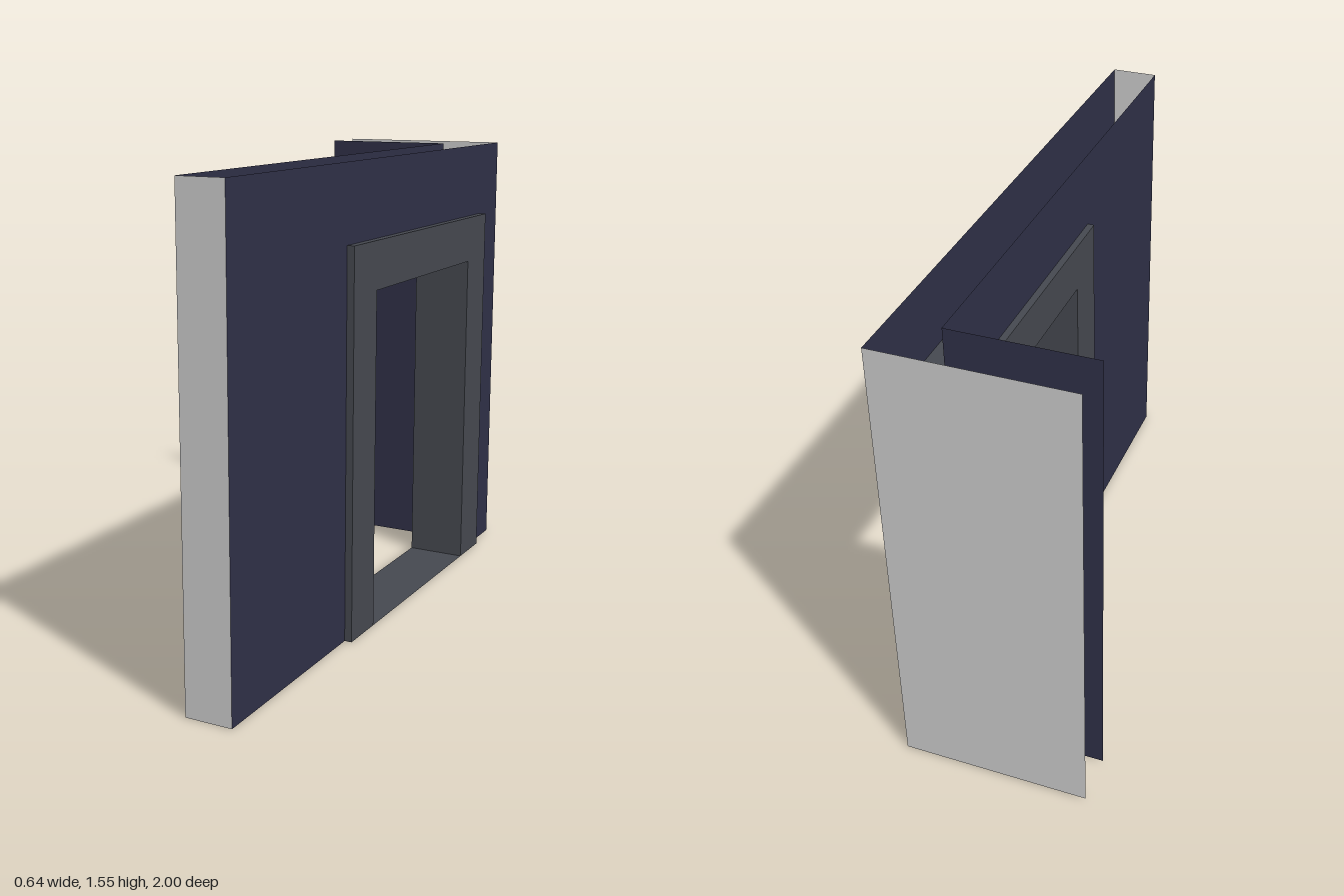
import * as THREE from 'three';

const H = 1.555;                          // wall height
const OUT_X = 0.297, IN_X = 0.14;         // outer and inner skins of the long wall
const BACK_Z = -1, INNER_Z = -0.84, FRONT_Z = 1;
const END_X = -0.322;                     // free end of the return wall

const mat = (color) => new THREE.MeshStandardMaterial({ color, side: THREE.DoubleSide });
const navy = mat(0x2f3047), frameGrey = mat(0x45484f), grey = mat(0xcccccc);

export function createModel() {
  const model = new THREE.Group();
  const add = (name, geometry, material) => {
    const mesh = new THREE.Mesh(geometry, material);
    mesh.name = name;
    model.add(mesh);
    return mesh;
  };

  // Doorway outline (an upside-down U or a plain gap), drawn with shape x = -z
  const outline = (points) => new THREE.Shape(points.map(([z, y]) => new THREE.Vector2(-z, y)));

  // Thin wall skin in the z-y plane, cut out where the door frame passes through
  const skin = (name, x, zBack) => {
    const shape = outline([
      [FRONT_Z, 0], [0.285, 0], [0.285, 1.3], [-0.826, 1.3], [-0.826, 0],
      [zBack, 0], [zBack, H], [FRONT_Z, H],
    ]);
    add(name, new THREE.ShapeGeometry(shape).rotateY(Math.PI / 2).translate(x, 0, 0), navy);
  };
  skin('outerWall', OUT_X, BACK_Z);
  skin('innerWall', IN_X, INNER_Z);

  // Thin upright panel facing along z
  const panel = (name, x0, x1, z, material, facing) => {
    const geometry = new THREE.PlaneGeometry(x1 - x0, H);
    if (facing < 0) geometry.rotateY(Math.PI);
    add(name, geometry.translate((x0 + x1) / 2, H / 2, z), material);
  };
  panel('frontEndCap', IN_X, OUT_X, FRONT_Z, grey, 1);
  panel('returnWallInner', END_X, IN_X, INNER_Z, navy, 1);
  panel('returnWallBack', END_X, OUT_X, BACK_Z, grey, -1);

  // Door frame: two jambs and a lintel, standing proud of both skins
  const frame = outline([
    [0.285, 0], [0.12, 0], [0.12, 1.14], [-0.66, 1.14],
    [-0.66, 0], [-0.826, 0], [-0.826, 1.3], [0.285, 1.3],
  ]);
  const x0 = 0.117, x1 = 0.322;
  add('doorFrame',
    new THREE.ExtrudeGeometry(frame, { depth: x1 - x0, bevelEnabled: false })
      .rotateY(Math.PI / 2).translate(x0, 0, 0), frameGrey);

  // Flat threshold between the jambs
  add('threshold',
    new THREE.PlaneGeometry(x1 - x0, 0.78).rotateX(-Math.PI / 2)
      .translate((x0 + x1) / 2, 0, -0.27), frameGrey);

  return model;
}
